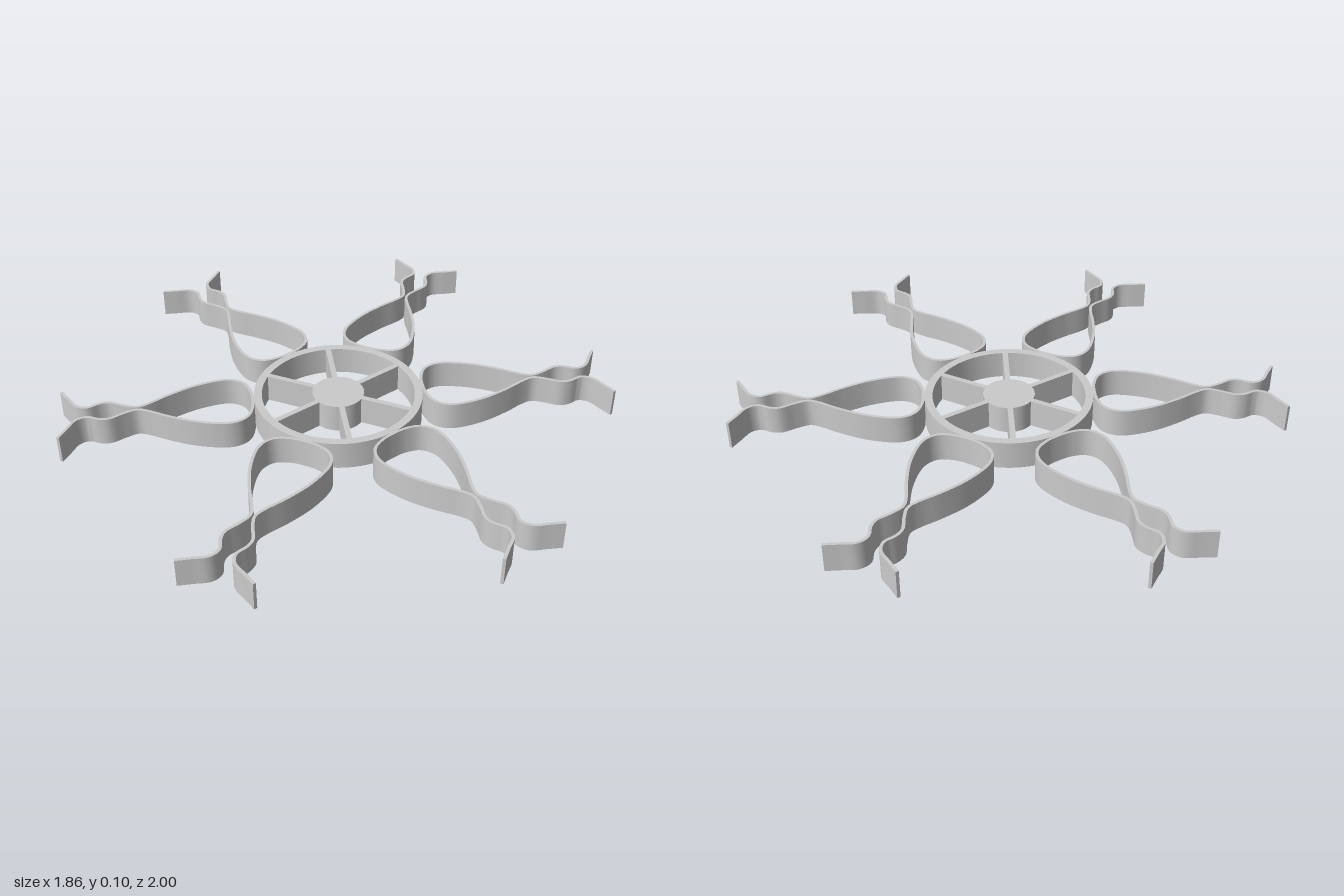
import * as THREE from 'three';
import { toCreasedNormals } from 'three/addons/utils/BufferGeometryUtils.js';

const HEIGHT = 0.105;
const material = new THREE.MeshStandardMaterial({ color: 0xcccccc });

// Extrude a flat plan upwards from y = 0, smooth on curves and sharp at rims
function slab(shape, curveSegments = 48) {
  const g = new THREE.ExtrudeGeometry(shape, { depth: HEIGHT, bevelEnabled: false, curveSegments });
  g.rotateX(-Math.PI / 2);
  return toCreasedNormals(g, 0.6);
}

function part(name, geometry, angle = 0) {
  const mesh = new THREE.Mesh(geometry, material);
  mesh.name = name;
  mesh.rotation.y = angle;
  return mesh;
}

// Thin strip of constant thickness following a plan curve
function stripShape(curve, thickness, steps) {
  const left = [], right = [];
  for (let i = 0; i <= steps; i++) {
    const p = curve.getPointAt(i / steps), t = curve.getTangentAt(i / steps);
    const n = new THREE.Vector2(-t.y, t.x).multiplyScalar(thickness / 2);
    left.push(p.clone().add(n));
    right.push(p.clone().sub(n));
  }
  return new THREE.Shape([...right, ...left.reverse()]);
}

export function createModel() {
  const model = new THREE.Group();
  model.name = 'clipWheel';

  // Rim
  const rim = new THREE.Shape().absarc(0, 0, 0.306, 0, Math.PI * 2, false);
  rim.holes.push(new THREE.Path().absarc(0, 0, 0.277, 0, Math.PI * 2, true));
  model.add(part('rim', slab(rim)));

  // Hub
  const hub = new THREE.CylinderGeometry(0.094, 0.094, HEIGHT, 48);
  hub.translate(0, HEIGHT / 2, 0);
  model.add(part('hub', hub));

  // Half of one spring clip, from the rim out to the flared tip
  const half = [
    [0.05, 0.315], [0.1, 0.335], [0.127, 0.375], [0.13, 0.43], [0.107, 0.52],
    [0.065, 0.61], [0.024, 0.68], [0.008, 0.725], [0.024, 0.772], [0.048, 0.82],
    [0.046, 0.857], [0.028, 0.9], [0.044, 0.94], [0.09, 0.968], [0.135, 0.995],
  ].map(([x, y]) => new THREE.Vector2(x, y));
  const mirrored = half.map((p) => new THREE.Vector2(-p.x, p.y)).reverse();
  const path = new THREE.SplineCurve([...mirrored, new THREE.Vector2(0, 0.311), ...half]);
  path.arcLengthDivisions = 600;
  const clip = slab(stripShape(path, 0.011, 160));

  // Spokes, with the clips set midway between them
  const spoke = new THREE.BoxGeometry(0.2, HEIGHT, 0.02);
  spoke.translate(0.185, HEIGHT / 2, 0);
  for (let i = 0; i < 6; i++) {
    const angle = (i * Math.PI) / 3;
    model.add(part('spoke', spoke, angle));
    model.add(part('springClip', clip, angle));
  }
  return model;
}
